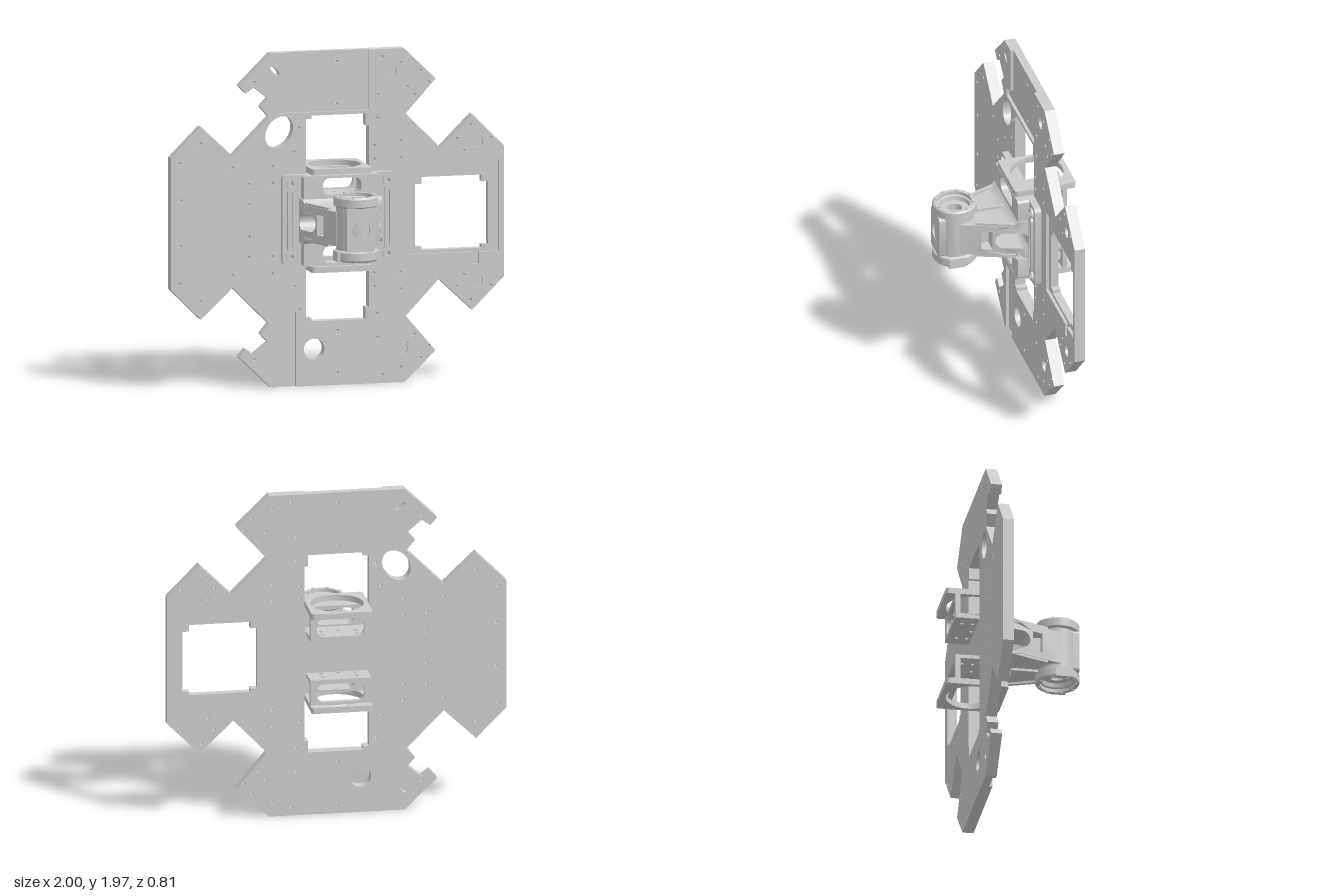
import * as THREE from 'three';
import { toCreasedNormals } from 'three/addons/utils/BufferGeometryUtils.js';

const MID = 0.985; // height of the horizontal mirror line
const material = new THREE.MeshStandardMaterial({ color: 0xcccccc, side: THREE.DoubleSide });

const poly = (pts) => pts.map(([x, y]) => new THREE.Vector2(x, y));
const rect = (x0, x1, y0, y1) => poly([[x0, y0], [x1, y0], [x1, y1], [x0, y1]]);
function ellipse(x, y, rx, ry = rx, turn = 0, n = 32) {
  return new THREE.EllipseCurve(x, y, rx, ry, 0, Math.PI * 2, false, turn).getPoints(n).slice(0, n);
}
function rounded(x0, x1, y0, y1, r) {
  const s = new THREE.Shape();
  s.absarc(x1 - r, y1 - r, r, 0, Math.PI / 2);
  s.absarc(x0 + r, y1 - r, r, Math.PI / 2, Math.PI);
  s.absarc(x0 + r, y0 + r, r, Math.PI, Math.PI * 1.5);
  s.absarc(x1 - r, y0 + r, r, Math.PI * 1.5, Math.PI * 2);
  return s.getPoints(8).slice(0, -1);
}
const flip = (pts) => pts.map((p) => new THREE.Vector2(p.x, 2 * MID - p.y));
function extrude(outline, holes, depth) {
  const shape = new THREE.Shape(outline);
  shape.holes = holes.map((h) => new THREE.Path(h));
  return new THREE.ExtrudeGeometry(shape, { depth, bevelEnabled: false });
}
function add(parent, name, geometry, x = 0, y = 0, z = 0) {
  const mesh = new THREE.Mesh(toCreasedNormals(geometry, 0.6), material);
  mesh.name = name;
  mesh.position.set(x, y, z);
  parent.add(mesh);
  return mesh;
}

// Outline pieces of the base plate, counter-clockwise
const rightEdge = [[0.4, 0], [0.59, 0.18], [0.41, 0.39], [0.61, 0.6], [0.81, 0.41], [1, 0.6],
  [1, 1.37], [0.81, 1.56], [0.62, 1.37], [0.41, 1.58], [0.59, 1.78], [0.4, 1.965]];
const leftTop = [[-0.4, 1.965], [-0.59, 1.78], [-0.55, 1.735], [-0.5, 1.77], [-0.415, 1.7],
  [-0.46, 1.65], [-0.41, 1.59], [-0.63, 1.37], [-0.82, 1.55], [-1, 1.37]];
const leftBottom = leftTop.map(([x, y]) => [x, Math.max(0, 1.965 - y)]).reverse();
const topRecess = [[0.19, 1.965], [0.19, 1.61], [-0.36, 1.61], [-0.36, 1.65], [-0.28, 1.69], [-0.28, 1.965]];
const bottomRecess = [[-0.37, 0], [-0.37, 0.44], [-0.25, 0.44], [-0.25, 0]];

function basePlate() {
  const plate = new THREE.Group();
  plate.name = 'basePlate';

  // Large openings shared by both layers
  const topWindow = poly([[-0.19, 1.12], [0.19, 1.12], [0.19, 1.52], [0.17, 1.52], [0.17, 1.59],
    [-0.155, 1.59], [-0.155, 1.57], [-0.19, 1.57]]);
  const through = [topWindow, flip(topWindow), ellipse(-0.35, 1.5, 0.075, 0.1, -0.6), ellipse(-0.14, 0.215, 0.062)];
  const t = 0.04;
  const sideWindow = poly([[0.47 + t, 0.77], [0.91 - t, 0.77], [0.91 - t, 0.79], [0.91, 0.79], [0.91, 1.16],
    [0.91 - t, 1.16], [0.91 - t, 1.2], [0.47 + t, 1.2], [0.47 + t, 1.16], [0.47, 1.16], [0.47, 0.79], [0.47 + t, 0.79]]);

  // Screw holes, listed for the upper half and mirrored down
  const spots = [[-0.95, 1.34], [-0.82, 1.45], [-0.63, 1.3], [-0.53, 1.2], [-0.53, 1.08], [-0.94, 1.12],
    [-0.39, 1.3], [-0.39, 1.2], [-0.26, 1.38], [-0.23, 1.52], [0.22, 1.4], [0.24, 1.56], [0.38, 1.42],
    [0.22, 1.32], [0.38, 1.32], [0.24, 1.7], [0.27, 1.92], [0.42, 1.74], [0.5, 1.83], [0.55, 1.76],
    [0.38, 1.88], [0.46, 1.69], [0.72, 1.42], [0.8, 1.5], [0.92, 1.42], [0.76, 1.35], [0, 1.9], [0, 1.65],
    [-0.5, 1.8]];
  const screws = [];
  for (const [x, y] of spots) {
    const hole = ellipse(x, y, 0.009, 0.009, 0, 10);
    screws.push(hole, flip(hole));
  }
  const slots = [ellipse(-0.375, 1.86, 0.036, 0.012, -0.75, 12), ellipse(-0.39, 0.125, 0.032, 0.012, 0.75, 12)];

  const back = poly([...rightEdge, ...leftTop, ...leftBottom]);
  add(plate, 'plateBack', extrude(back, [...through, sideWindow, ...screws, ...slots], 0.047), 0, 0, -0.215);

  // Front layer leaves shallow recesses
  const front = poly([...rightEdge, ...topRecess, ...leftTop, ...leftBottom, ...bottomRecess]);
  const sideRecess = poly([[0.43, 0.75], [0.81, 0.75], [0.81, 0.68], [0.85, 0.68], [0.85, 0.75], [0.97, 0.75],
    [0.97, 1.29], [0.43, 1.29]]);
  const dimples = [[0.32, 1.83], [0.84, 1.4], [0.84, 0.58], [0.39, 0.2]].map(([x, y]) => ellipse(x, y, 0.035));
  const frontScrews = screws.filter(([p]) => !(p.x > -0.3 && p.x < 0.2 && p.y > 1.6));
  add(plate, 'plateFront', extrude(front, [...through, sideRecess, ...dimples, ...frontScrews,
    slots[0]], 0.018), 0, 0, -0.168);
  return plate;
}

// Open cage behind the plate: ring plate, rear wall and inner plate
function motorCage(name) {
  const cage = new THREE.Group();
  cage.name = name;
  const ring = extrude(rounded(-0.18, 0.18, -0.41, -0.04, 0.02),
    [ellipse(0, -0.225, 0.155, 0.155, 0, 48)], 0.035).rotateX(Math.PI / 2);
  add(cage, 'cageRing', ring, 0, 0.305, 0);
  const dots = [[-0.1, -0.3], [0.1, -0.3], [-0.1, -0.24], [0.1, -0.24], [0, -0.23]]
    .map(([x, z]) => ellipse(x, z, 0.012, 0.012, 0, 10));
  const inner = extrude(rect(-0.18, 0.18, -0.355, -0.15), dots, 0.022).rotateX(Math.PI / 2);
  add(cage, 'cageInnerPlate', inner, 0, 0.14, 0);
  add(cage, 'cageRearWall', extrude(rect(-0.18, 0.18, 0.118, 0.275),
    [rounded(-0.14, 0.14, 0.145, 0.255, 0.04)], 0.03), 0, 0, -0.355);
  return cage;
}

function armMount() {
  const mount = new THREE.Group();
  mount.name = 'armMount';
  const slot = rounded(-0.115, 0.115, 1.135, 1.235, 0.04);
  const bolts = [];
  for (const x of [-0.29, 0.29]) for (const y of [0.77, 1.2]) bolts.push(ellipse(x, y, 0.015, 0.015, 0, 12));
  add(mount, 'mountFlange', extrude(rounded(-0.34, 0.34, 0.72, 1.25, 0.03),
    [slot, flip(slot), ...bolts], 0.04), 0, 0, -0.15);

  // Upper and lower body blocks with see-through slots
  const block = rounded(-0.23, 0.23, 1.05, 1.25, 0.015);
  add(mount, 'mountBlockTop', extrude(block, [slot], 0.07), 0, 0, -0.11);
  add(mount, 'mountBlockBottom', extrude(flip(block), [flip(slot)], 0.07), 0, 0, -0.11);
  for (const s of [-1, 1]) {
    add(mount, 'flangeRail', extrude(rounded(-0.022, 0.022, 0.8, 1.17, 0.02),
      [rounded(-0.01, 0.01, 0.82, 1.15, 0.009)], 0.018), s * 0.29, 0, -0.112);
    for (const y of [0.77, 1.2]) {
      add(mount, 'boltBoss', extrude(ellipse(0, 0, 0.03), [ellipse(0, 0, 0.015, 0.015, 0, 12)], 0.015), s * 0.29, y, -0.112);
    }
  }
  return mount;
}

function arm() {
  const group = new THREE.Group();
  group.name = 'arm';
  // Side profile (z, y), then narrowed toward the pivot
  const upper = [[-0.11, 0.13], [-0.04, 0.13], [-0.02, 0.11], [0.02, 0.1], [0.28, 0.1]];
  const profile = poly([...upper.map(([z, y]) => [z, MID - y]), ...upper.map(([z, y]) => [z, MID + y]).reverse()]);
  const oval = rounded(-0.11 + 0.004, 0.085, MID - 0.05, MID + 0.05, 0.049);
  const pocket = rect(0.1, 0.16, MID - 0.06, MID + 0.06);
  const body = extrude(profile, [oval, pocket], 1).translate(0, 0, -0.5).rotateY(-Math.PI / 2);
  const p = body.attributes.position;
  for (let i = 0; i < p.count; i++) {
    const half = 0.24 - Math.max(0, p.getZ(i) + 0.04) * 0.38;
    p.setX(i, p.getX(i) * 2 * half);
  }
  body.computeVertexNormals();
  add(group, 'armBody', body);
  add(group, 'armWeb', new THREE.BoxGeometry(0.2, 0.14, 0.08), 0, MID, 0.13);
  // Raised ribs along the arm, above and below
  for (const s of [-1, 1]) {
    add(group, 'armRib', new THREE.BoxGeometry(0.02, 0.02, 0.22), 0, MID + s * 0.105, 0.07);
    for (const side of [-1, 1]) {
      const rim = add(group, 'armRim', new THREE.BoxGeometry(0.02, 0.02, 0.24), side * 0.18, MID + s * 0.104, 0.08);
      rim.rotation.y = -side * 0.363;
    }
  }
  return group;
}

function pivot() {
  const group = new THREE.Group();
  group.name = 'pivotHousing';
  group.position.set(0, MID + 0.005, 0.275);
  // Lathe profile: rims at both ends, counterbores and a central bore
  const half = [[0.045, 0.14], [0.085, 0.14], [0.09, 0.165], [0.1, 0.17], [0.1, 0.19], [0.122, 0.19],
    [0.13, 0.18], [0.13, 0.135], [0.115, 0.125]];
  const ring = [...half, ...half.map(([r, y]) => [r, -y]).reverse(), half[0]];
  add(group, 'pivotBarrel', new THREE.LatheGeometry(poly(ring).reverse(), 48));
  // Flat front pad with a round recess
  add(group, 'frontPad', extrude(rounded(-0.085, 0.085, -0.13, 0.13, 0.02), [ellipse(0, 0, 0.054)], 0.04), 0, 0, 0.078);
  for (const s of [-1, 1]) {
    add(group, 'sideLug', new THREE.BoxGeometry(0.02, 0.06, 0.1), s * 0.12, -0.16, 0.02);
    for (let i = 0; i < 8; i++) {
      const a = (i + 0.5) * Math.PI / 4;
      add(group, 'rimScrew', new THREE.CylinderGeometry(0.008, 0.008, 0.01, 10),
        Math.cos(a) * 0.111, s * 0.191, Math.sin(a) * 0.111);
    }
  }
  return group;
}

export function createModel() {
  const model = new THREE.Group();
  model.name = 'mountingAssembly';
  const top = motorCage('upperCage');
  top.position.y = MID;
  const bottom = motorCage('lowerCage');
  bottom.position.y = MID;
  bottom.scale.y = -1;
  model.add(basePlate(), armMount(), arm(), pivot(), top, bottom);
  return model;
}
